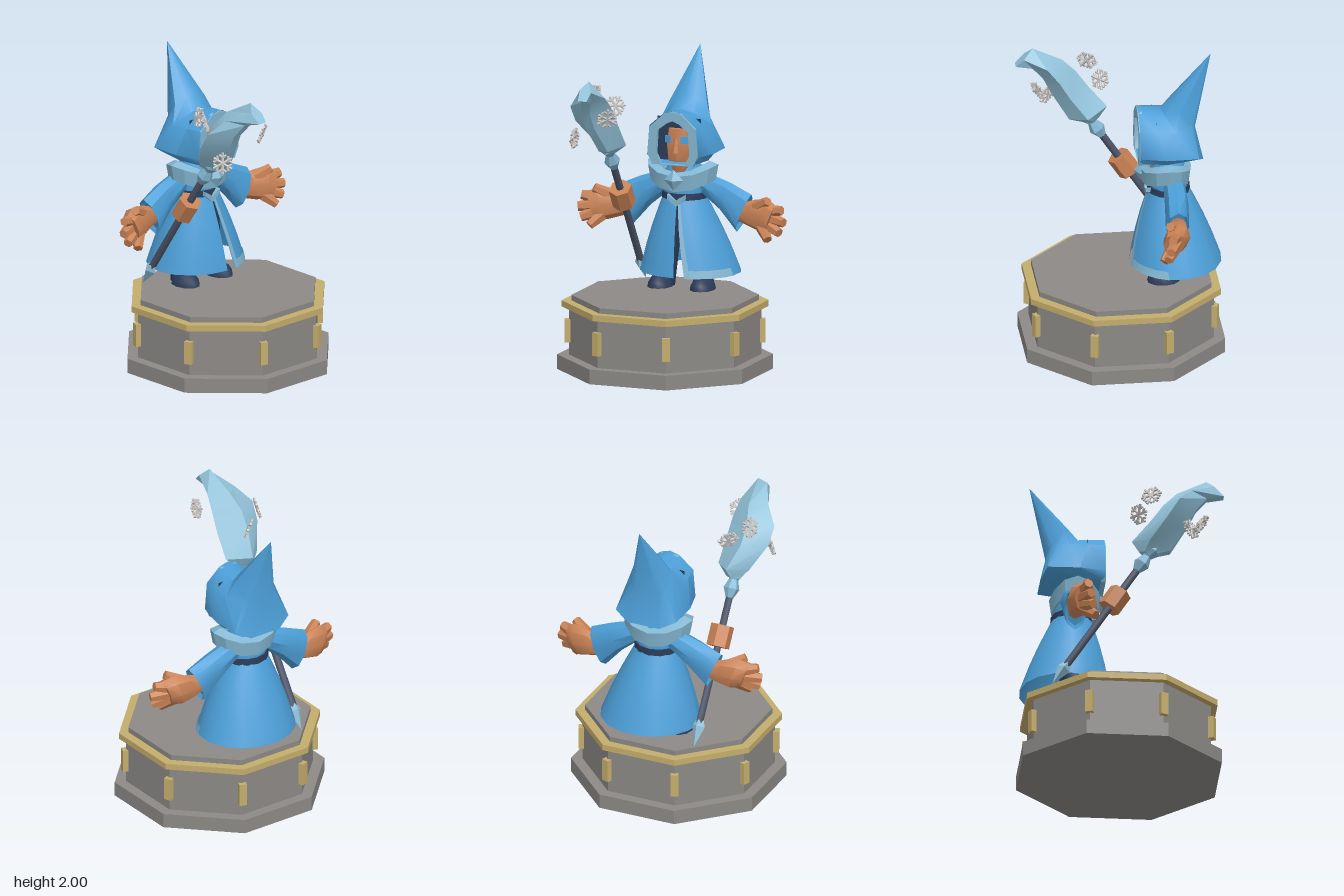
import * as THREE from 'three';
import { toCreasedNormals } from 'three/addons/utils/BufferGeometryUtils.js';

const mat = (name, color) => {
  const m = new THREE.MeshStandardMaterial({ color, side: THREE.DoubleSide });
  m.name = name;
  return m;
};
const M = {
  robe: mat('robe blue', 0x4c9fd8), trim: mat('pale blue trim', 0x84b7d2), ice: mat('ice blue', 0x93c3da),
  skin: mat('skin', 0xc98256), navy: mat('navy', 0x2b3b58), rod: mat('rod grey', 0x4d5568),
  stone: mat('stone', 0x8c8986), gold: mat('gold', 0xc4ad6c), snow: mat('snow', 0xc9c5c2),
};
const V = (x, y, z) => new THREE.Vector3(x, y, z);
const TAU = Math.PI * 2;

function add(parent, name, geo, material, crease = 0.7) {
  const mesh = new THREE.Mesh(toCreasedNormals(geo, crease), material);
  mesh.name = name;
  parent.add(mesh);
  return mesh;
}

// Skin a list of equal-length rings of points
function loft(rings, { closed = true, caps = false } = {}) {
  const n = rings[0].length, pos = [], idx = [];
  rings.forEach(r => r.forEach(p => pos.push(p.x, p.y, p.z)));
  for (let i = 0; i < rings.length - 1; i++) {
    for (let j = 0; j < (closed ? n : n - 1); j++) {
      const k = (j + 1) % n, a = i * n + j, b = i * n + k, c = b + n, d = a + n;
      idx.push(a, b, c, a, c, d);
    }
  }
  if (caps) {
    const e = (rings.length - 1) * n;
    for (let j = 1; j < n - 1; j++) idx.push(0, j + 1, j, e, e + j, e + j + 1);
  }
  const g = new THREE.BufferGeometry();
  g.setAttribute('position', new THREE.Float32BufferAttribute(pos, 3));
  g.setIndex(idx);
  g.computeVertexNormals();
  return g;
}

// Tapered rod between two points
function limb(parent, name, p, q, r1, r2, material, sides = 6) {
  const d = q.clone().sub(p);
  const mesh = add(parent, name, new THREE.CylinderGeometry(r2, r1, d.length(), sides), material, sides > 6 ? 0.8 : 0.9);
  mesh.position.copy(p).add(q).multiplyScalar(0.5);
  mesh.quaternion.setFromUnitVectors(V(0, 1, 0), d.normalize());
  return mesh;
}

function pedestal(root) {
  const slab = (name, half, y0, y1, m) => {
    const r = half / Math.cos(Math.PI / 8);
    const s = add(root, name, new THREE.CylinderGeometry(r, r, y1 - y0, 8).rotateY(Math.PI / 8), m, 0.5);
    s.position.y = (y0 + y1) / 2;
  };
  slab('plinth', 0.633, 0, 0.095, M.stone);
  slab('pedestalBody', 0.565, 0.095, 0.405, M.stone);
  slab('goldBand', 0.607, 0.405, 0.445, M.gold);
  slab('pedestalTop', 0.55, 0.445, 0.48, M.stone);
  for (let i = 0; i < 8; i++) {
    const a = (i + 0.5) * TAU / 8;
    const post = add(root, 'goldPost', new THREE.BoxGeometry(0.05, 0.15, 0.045), M.gold);
    post.position.set(Math.sin(a) * 0.615, 0.25, Math.cos(a) * 0.615);
    post.rotation.y = a;
  }
}

// Point on the robe skirt: t runs hem to waist, a runs round from the front
function skirtPoint(t, a, out = 0) {
  const s = 1 - t, bulge = 0.012 * Math.sin(Math.PI * t);
  return V(0.027 * s + (0.135 + 0.193 * s + bulge + out) * Math.sin(a), 0.58 + 0.5 * t,
    -0.3 - 0.04 * s + (0.125 + 0.17 * s + bulge + out) * Math.cos(a));
}
const slit = t => 0.05 + 0.17 * (1 - t);

function robe(fig) {
  const steps = [0, 0.12, 0.35, 0.6, 0.85, 1];
  const strip = (ts, width, n, out) => loft(ts.map(t => Array.from({ length: n + 1 },
    (_, j) => skirtPoint(t, slit(t) + width(t) * j / n, out))), { closed: false });
  add(fig, 'skirt', strip(steps, t => TAU - slit(t), 16, 0), M.robe);
  add(fig, 'slitTrim', strip(steps, () => 0.11, 1, 0.006), M.trim);
  add(fig, 'hemTrim', strip([0, 0.1], () => 1.1, 4, 0.006), M.trim);
  // Torso and belt
  const tube = (name, list, m) => add(fig, name, loft(list.map(([y, rx, rz]) => Array.from({ length: 12 },
    (_, j) => V(rx * Math.sin(j * TAU / 12), y, -0.3 + rz * Math.cos(j * TAU / 12)))), { caps: true }), m);
  tube('torso', [[1.05, 0.13, 0.12], [1.15, 0.145, 0.125], [1.23, 0.13, 0.11], [1.32, 0.08, 0.08]], M.robe);
  tube('belt', [[1.06, 0.148, 0.137], [1.1, 0.146, 0.134]], M.navy);
  // Fur collar, lifted at the shoulders and dipping front and back
  const section = [[0.7, -0.05], [0.92, -0.07], [1, 0.03], [0.75, 0.05]];
  const collar = [];
  for (let i = 0; i <= 12; i++) {
    const a = i * TAU / 12, c = Math.cos(a), y = 1.26 - 0.07 * c * c;
    collar.push(section.map(([r, h]) => V(0.24 * r * Math.sin(a), y + h, -0.28 + 0.165 * r * c)));
  }
  add(fig, 'collar', loft(collar), M.trim, 0.5);
  const gem = add(fig, 'collarClasp', new THREE.OctahedronGeometry(1, 0), M.trim, 0.1);
  gem.scale.set(0.065, 0.068, 0.035);
  gem.position.set(0, 1.2, -0.115);
  const v = new THREE.Shape([[-0.06, 1.1], [0, 1.06], [0.06, 1.1], [0.06, 1.07], [0, 1.02], [-0.06, 1.07]].map(p => new THREE.Vector2(...p)));
  add(fig, 'chevron', new THREE.ExtrudeGeometry(v, { depth: 0.03, bevelEnabled: false }), M.trim).position.z = -0.18;
}

function hood(fig) {
  // Each ring runs from a bottom point (y, z) to a top point (y, z)
  const ring = (y0, z0, y1, z1, half) => {
    const w = half.map((x, i) => [x, half.length === 4 ? [0, 0.15, 0.7, 0.93][i] : 0]);
    const pts = [...w.map(([x, t]) => [-x, t]), [0, 1], ...w.reverse()];
    return pts.map(([x, t]) => V(x, y0 + (y1 - y0) * t, z0 + (z1 - z0) * t));
  };
  add(fig, 'hood', loft([
    ring(1.31, -0.1, 1.65, -0.1, [0.14, 0.175, 0.16, 0.07]),
    ring(1.31, -0.28, 1.64, -0.18, [0.17, 0.215, 0.175, 0.08]),
    ring(1.31, -0.51, 1.635, -0.25, [0.11, 0.21, 0.18, 0.08]),
    ring(1.53, -0.46, 1.71, -0.32, [0.08, 0.12, 0.13, 0.06]),
    ring(2, -0.57, 2, -0.57, [0, 0, 0, 0]),
  ]), M.robe, 0.8);
  // Pale rim round the face opening
  const half = [[0.14, 1.3], [0.172, 1.37], [0.158, 1.54], [0.06, 1.63]];
  const outline = (pts, top) => [...pts, [0, top], ...pts.map(([x, y]) => [-x, y]).reverse()].map(p => new THREE.Vector2(...p));
  const rim = new THREE.Shape(outline(half, 1.645));
  rim.holes.push(new THREE.Path(outline([[0.08, 1.305], [0.115, 1.37], [0.105, 1.52], [0.04, 1.57]], 1.585)));
  add(fig, 'hoodRim', new THREE.ExtrudeGeometry(rim, { depth: 0.03, bevelEnabled: false }), M.trim).position.z = -0.125;
  const lining = add(fig, 'hoodLining', new THREE.PlaneGeometry(0.3, 0.28), M.navy);
  lining.position.set(0, 1.45, -0.21);
  // Face, nose and eyes
  const face = [[1.24, 0.05], [1.32, 0.085], [1.42, 0.095], [1.52, 0.08]].map(([y, r]) =>
    Array.from({ length: 8 }, (_, j) => V(r * Math.sin(j * TAU / 8), y, -0.23 + r * 0.85 * Math.cos(j * TAU / 8))));
  add(fig, 'face', loft(face, { caps: true }), M.skin);
  limb(fig, 'nose', V(0, 1.37, -0.135), V(0, 1.46, -0.15), 0.024, 0.01, M.skin, 4);
  for (const s of [-1, 1]) {
    const eye = add(fig, 'eye', new THREE.BoxGeometry(0.045, 0.045, 0.008), M.robe);
    eye.position.set(s * 0.055, 1.455, -0.159);
    eye.rotation.y = s * 0.4;
  }
}

function arm(fig, side) {
  const g = new THREE.Group();
  g.name = side > 0 ? 'leftArm' : 'rightArm';
  g.scale.x = side;
  fig.add(g);
  // Rings: centre x, y, z, then tilt in x, half height, half depth
  const rings = list => list.map(([x, y, z, hx, hy, hz]) => Array.from({ length: 8 }, (_, j) => {
    const c = Math.cos(j * TAU / 8), s = Math.sin(j * TAU / 8);
    return V(x + hx * c, y + hy * c, z + hz * s);
  }));
  add(g, 'sleeve', loft(rings([[0.06, 1.18, -0.31, 0.02, 0.06, 0.07], [0.15, 1.145, -0.32, 0.02, 0.07, 0.07],
    [0.27, 1.08, -0.32, 0.035, 0.09, 0.075], [0.405, 0.98, -0.31, 0.05, 0.125, 0.075],
    [0.385, 0.99, -0.31, 0.04, 0.1, 0.06]]), { caps: true }), M.robe);
  add(g, 'palm', loft(rings([[0.38, 0.99, -0.31, 0.02, 0.06, 0.05], [0.45, 0.99, -0.31, 0.03, 0.085, 0.06],
    [0.55, 0.98, -0.29, 0.03, 0.105, 0.085], [0.61, 0.965, -0.265, 0.03, 0.09, 0.07]]), { caps: true }), M.skin);
  const fingers = [[0.58, 1.01, -0.28, 0.685, 1.03, -0.25], [0.59, 0.97, -0.28, 0.705, 0.955, -0.235],
    [0.58, 0.93, -0.27, 0.68, 0.89, -0.22], [0.55, 0.91, -0.26, 0.61, 0.845, -0.2], [0.5, 1.03, -0.29, 0.595, 1.085, -0.24]];
  for (const [a, b, c, d, e, f] of fingers) limb(g, 'finger', V(a, b, c), V(d, e, f), 0.045, 0.03, M.skin);
}

function boot(fig, side) {
  const dome = add(fig, 'boot', new THREE.SphereGeometry(1, 10, 4, 0, TAU, 0, Math.PI / 2), M.navy);
  dome.scale.set(0.08, 0.085, 0.105);
  dome.position.set(side * 0.145, 0.48, -0.25);
  limb(fig, 'leg', V(side * 0.135, 0.485, -0.3), V(side * 0.07, 1.04, -0.29), 0.07, 0.075, M.navy, 8);
}

function staff(root) {
  const g = new THREE.Group();
  g.name = 'staff';
  root.add(g);
  const at = t => V(-0.315, 0.485 + 0.835 * t, -0.45 + 0.55 * t);
  const seg = (name, t0, t1, r0, r1, m, n = 6) => limb(g, name, at(t0), at(t1), r0, r1, m, n);
  seg('spike', 0, 0.13, 0.001, 0.043, M.ice, 4);
  seg('spikeBase', 0.13, 0.18, 0.043, 0.022, M.ice, 4);
  seg('rod', 0.15, 1.02, 0.024, 0.024, M.rod, 8);
  [[0.97, 1.03, 0.025, 0.052], [1.03, 1.09, 0.052, 0.03], [1.09, 1.14, 0.03, 0.06], [1.14, 1.2, 0.06, 0.045]]
    .forEach(k => seg('knob', ...k, M.trim));
  // Gripping fist
  seg('fist', 0.65, 0.79, 0.075, 0.075, M.skin);
  limb(g, 'knuckles', V(-0.365, 1.085, -0.05), V(-0.255, 1.085, -0.05), 0.045, 0.045, M.skin);
  // Crystal head; rings: back (y, z), front (y, z), x range, height of the side points
  const crystal = [
    [1.43, 0.1, 1.4, 0.17, -0.36, -0.27], [1.505, 0.055, 1.44, 0.3, -0.415, -0.19], [1.63, 0.17, 1.61, 0.41, -0.5, -0.2],
    [1.74, 0.25, 1.71, 0.46, -0.51, -0.21], [1.84, 0.34, 1.8, 0.53, -0.43, -0.23], [1.94, 0.53, 1.83, 0.64, -0.35, -0.27],
  ].map(([yb, zb, yf, zf, x0, x1]) => {
    const p = (x, t) => V(x, yb + (yf - yb) * t, zb + (zf - zb) * t), m = (x0 + x1) / 2;
    return [p(m, 0), p(x0, 0.45), p(m - 0.03, 1), p(m + 0.03, 1), p(x1, 0.55)];
  });
  add(g, 'crystal', loft(crystal, { caps: true }), M.ice, 0.5);
  // Floating snowflakes
  const flakes = [[-0.19, 1.7, 0.51, 0.4, 0.5], [-0.45, 1.54, 0.42, -0.3, -0.8], [-0.42, 1.78, 0.17, 0.6, 1.1], [-0.3, 1.7, 0.1, -0.5, 0.7]];
  for (const [x, y, z, rx, ry] of flakes) {
    const f = new THREE.Group();
    f.name = 'snowflake';
    f.position.set(x, y, z);
    f.rotation.set(rx, ry, 0.3);
    g.add(f);
    for (let i = 0; i < 6; i++) {
      const a = i * TAU / 6, p = (r, o) => V(Math.cos(a + o) * r, Math.sin(a + o) * r, 0);
      limb(f, 'flakeArm', V(0, 0, 0), p(0.068, 0), 0.009, 0.009, M.snow, 5);
      for (const s of [-1, 1]) limb(f, 'flakeBranch', p(0.036, 0), p(0.06, s * 0.4), 0.008, 0.008, M.snow, 5);
    }
  }
}

export function createModel() {
  const root = new THREE.Group();
  root.name = 'wizardStatue';
  pedestal(root);
  const fig = new THREE.Group();
  fig.name = 'wizard';
  fig.position.x = 0.012;
  root.add(fig);
  robe(fig);
  hood(fig);
  for (const s of [-1, 1]) {
    arm(fig, s);
    boot(fig, s);
  }
  staff(root);
  return root;
}
